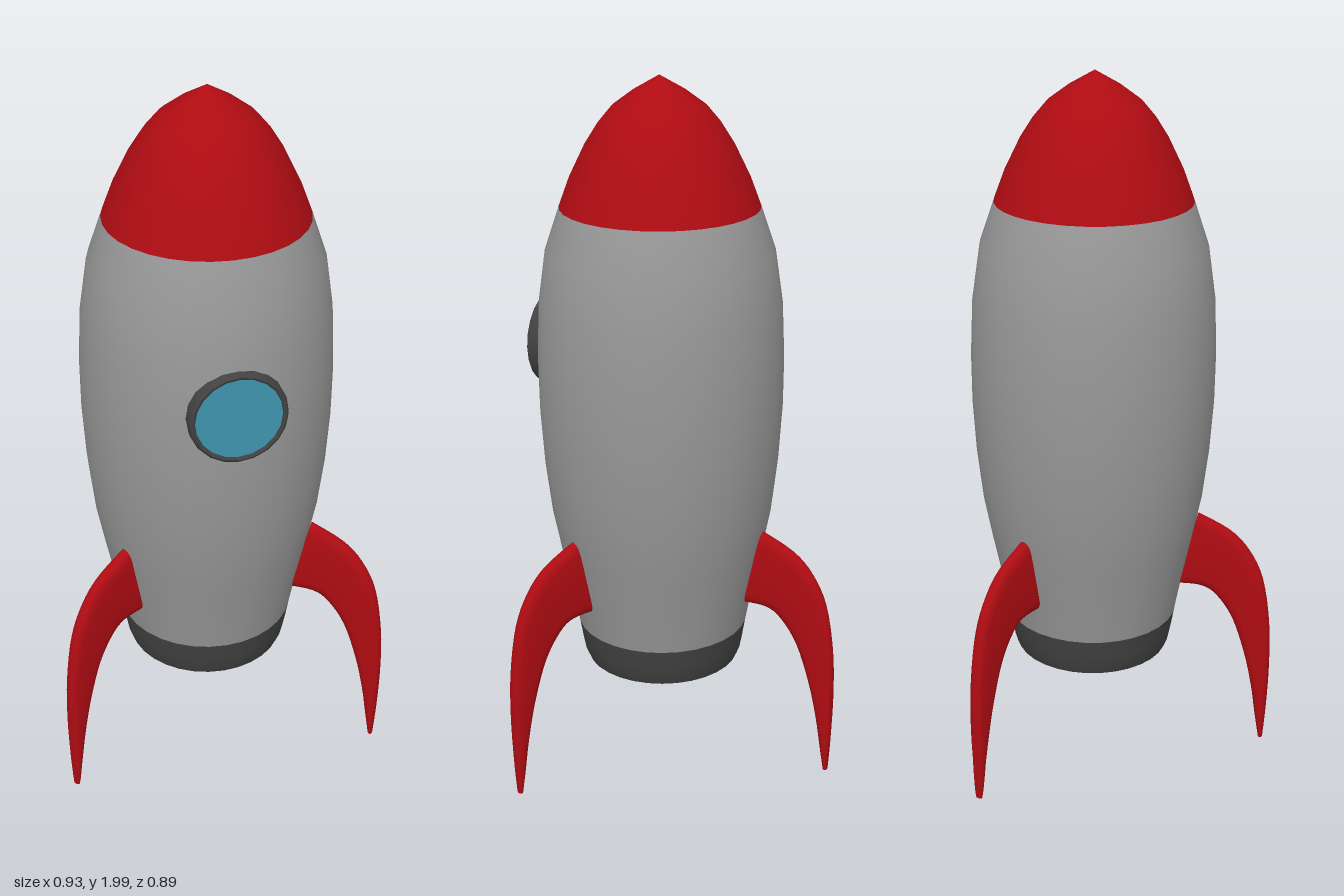
import * as THREE from 'three';
import { toCreasedNormals } from 'three/addons/utils/BufferGeometryUtils.js';

const AXIS_Z = 0.09;
const mat = (color, side = THREE.FrontSide) => new THREE.MeshStandardMaterial({ color, side });
const grey = mat(0x989898);
const dark = mat(0x424242, THREE.DoubleSide);
const red = mat(0xae0c12);
const blue = mat(0x3f94af);

const vectors = (list) => list.map(([x, y]) => new THREE.Vector2(x, y));
const lathe = (list, segments = 32) => new THREE.LatheGeometry(vectors(list), segments);

function part(name, geometry, material) {
  const mesh = new THREE.Mesh(geometry, material);
  mesh.name = name;
  return mesh;
}

// Swept fin: round-ended sections between an outer and an inner edge curve
function finGeometry() {
  const outer = new THREE.SplineCurve(vectors([[0.309, 0.738], [0.402, 0.69], [0.46, 0.63], [0.503, 0.54],
    [0.527, 0.4], [0.533, 0.26], [0.53, 0.12], [0.523, 0.006]]));
  const inner = new THREE.SplineCurve(vectors([[0.255, 0.508], [0.323, 0.505], [0.368, 0.477], [0.418, 0.403],
    [0.458, 0.286], [0.482, 0.18], [0.496, 0.09], [0.51, 0.006]]));
  const steps = 28, arc = 6, ring = 2 * (arc + 1);
  const pos = [], index = [];
  for (let i = 0; i <= steps; i++) {
    const t = i / steps;
    const o = outer.getPoint(t), n = inner.getPoint(t);
    const mid = o.clone().add(n).multiplyScalar(0.5);
    const dir = o.clone().sub(n);
    const half = dir.length() / 2;
    dir.normalize();
    const thick = 0.0205 - 0.01 * Math.pow(t, 8);
    const round = Math.min(thick * 1.5, half);
    for (const end of [1, -1]) {
      for (let k = 0; k <= arc; k++) {
        const a = -Math.PI / 2 + (k / arc) * Math.PI;
        const d = end * (half - round + round * Math.cos(a));
        pos.push(mid.x + dir.x * d, mid.y + dir.y * d, end * thick * Math.sin(a));
      }
    }
  }
  for (let i = 0; i < steps; i++) {
    for (let j = 0; j < ring; j++) {
      const a = i * ring + j, b = i * ring + (j + 1) % ring;
      index.push(a, b, a + ring, b, b + ring, a + ring);
    }
  }
  // End caps
  const last = steps * ring;
  for (let j = 1; j < ring - 1; j++) {
    index.push(0, j + 1, j, last, last + j, last + j + 1);
  }
  const g = new THREE.BufferGeometry();
  g.setAttribute('position', new THREE.Float32BufferAttribute(pos, 3));
  g.setIndex(index);
  return toCreasedNormals(g, 0.9);
}

export function createModel() {
  const model = new THREE.Group();
  model.name = 'rocket';

  const rocket = new THREE.Group();
  rocket.name = 'hull';
  rocket.position.z = AXIS_Z;
  model.add(rocket);

  // Barrel-shaped body
  rocket.add(part('body', lathe([[0.246, 0.42], [0.266, 0.53], [0.292, 0.655], [0.316, 0.78], [0.333, 0.93],
    [0.342, 1.08], [0.343, 1.22], [0.336, 1.38], [0.314, 1.53], [0.273, 1.65]]), grey));

  // Nose cone with a pointed tip
  rocket.add(part('noseCone', lathe([[0.273, 1.65], [0.243, 1.73], [0.2, 1.818], [0.165, 1.873],
    [0.127, 1.918], [0.07, 1.96], [0, 2]]), red));

  // Engine skirt with a rounded lip and a hollow underside
  rocket.add(part('engineNozzle', toCreasedNormals(lathe([[0, 0.44], [0.09, 0.43], [0.145, 0.395], [0.17, 0.335],
    [0.18, 0.31], [0.203, 0.302], [0.221, 0.306], [0.23, 0.328], [0.238, 0.37], [0.246, 0.42]]), 0.9), dark));

  // Three fins, one at the back and two towards the front
  const fin = finGeometry();
  const fins = [['backFin', 90], ['leftFin', -30], ['rightFin', 210]];
  for (const [name, degrees] of fins) {
    const mesh = part(name, fin, red);
    mesh.rotation.y = THREE.MathUtils.degToRad(degrees);
    rocket.add(mesh);
  }

  // Round porthole: the lathe axis is turned to face forward
  const porthole = new THREE.Group();
  porthole.name = 'porthole';
  porthole.position.set(0, 1.241, 0.36);
  porthole.rotation.x = Math.PI / 2;
  const frame = lathe([[0.132, 0], [0.132, 0.07], [0.129, 0.08], [0.123, 0.084], [0.116, 0.081], [0.114, 0.05]], 20);
  porthole.add(part('portholeFrame', toCreasedNormals(frame, 0.7), dark));
  const glass = new THREE.CylinderGeometry(0.115, 0.115, 0.05, 20);
  glass.translate(0, 0.053, 0);
  porthole.add(part('portholeGlass', glass, blue));
  model.add(porthole);

  return model;
}
